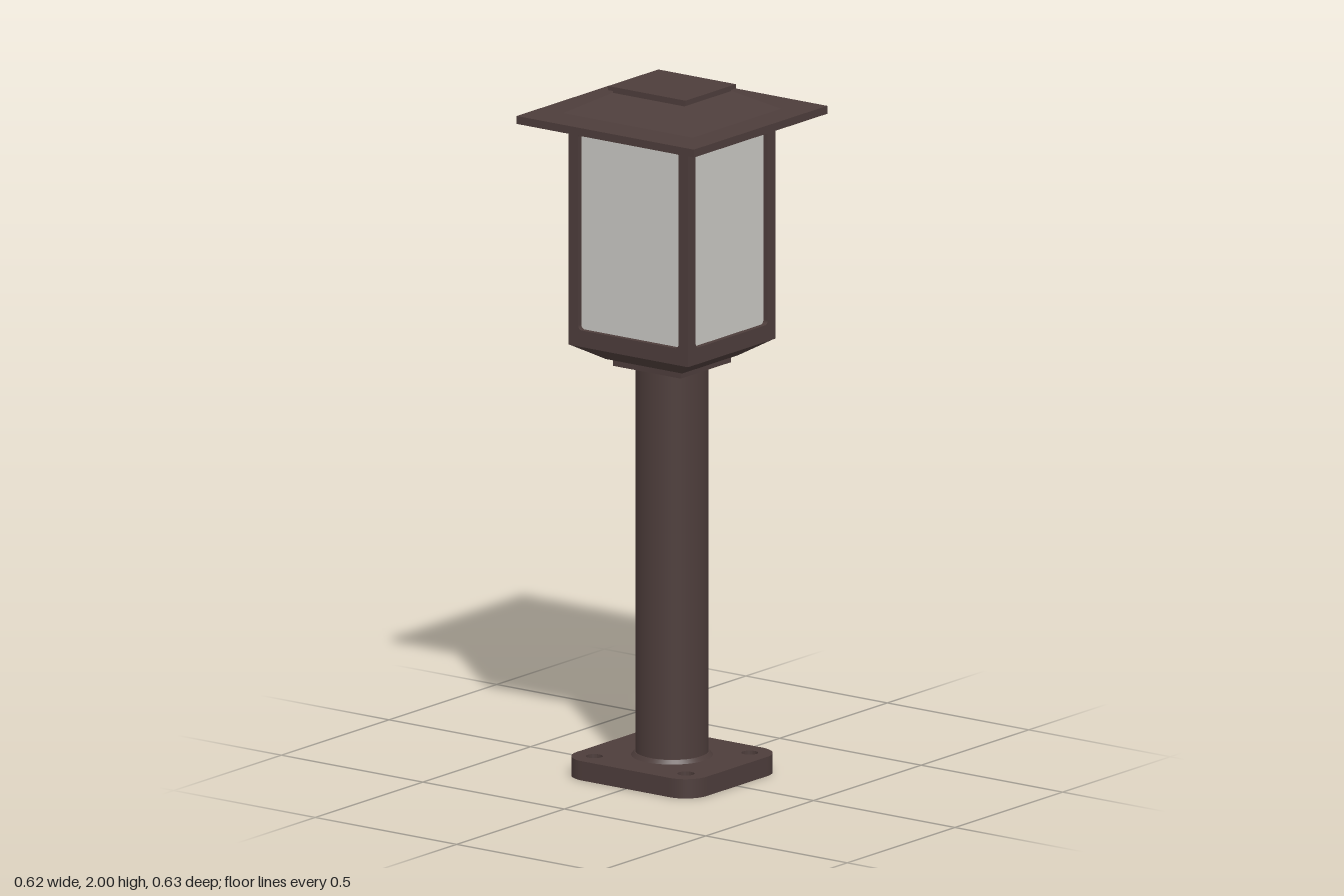
import * as THREE from 'three';

const brown = new THREE.MeshStandardMaterial({ color: 0x4d3d3b });
brown.name = 'dark bronze';
const frosted = new THREE.MeshStandardMaterial({ color: 0xc8c7c2 });
frosted.name = 'frosted glass';

function add(parent, name, geometry, material = brown, x = 0, y = 0, z = 0) {
  const mesh = new THREE.Mesh(geometry, material);
  mesh.name = name;
  mesh.position.set(x, y, z);
  parent.add(mesh);
  return mesh;
}

// Four-sided block from half sizes [x, z] at the bottom and at the top
function frustum([bx, bz], [tx, tz], y0, y1) {
  const g = new THREE.BoxGeometry(2, y1 - y0, 2);
  const p = g.attributes.position;
  for (let i = 0; i < p.count; i++) {
    const top = p.getY(i) > 0;
    p.setX(i, p.getX(i) * (top ? tx : bx));
    p.setZ(i, p.getZ(i) * (top ? tz : bz));
  }
  g.translate(0, (y0 + y1) / 2, 0);
  g.computeVertexNormals();
  return g;
}

function roundedRect(path, x0, y0, x1, y1, r) {
  path.moveTo(x0 + r, y0);
  path.lineTo(x1 - r, y0);
  path.absarc(x1 - r, y0 + r, r, -Math.PI / 2, 0);
  path.lineTo(x1, y1 - r);
  path.absarc(x1 - r, y1 - r, r, 0, Math.PI / 2);
  path.lineTo(x0 + r, y1);
  path.absarc(x0 + r, y1 - r, r, Math.PI / 2, Math.PI);
  path.lineTo(x0, y0 + r);
  path.absarc(x0 + r, y0 + r, r, Math.PI, Math.PI * 1.5);
  return path;
}

// Horizontal base plate layer, optionally drilled at the four corners
function plate(y, height, drilled) {
  const shape = roundedRect(new THREE.Shape(), -0.215, -0.23, 0.215, 0.23, 0.075);
  if (drilled) {
    for (const sx of [-1, 1]) for (const sz of [-1, 1]) {
      shape.holes.push(new THREE.Path().absarc(sx * 0.148, sz * 0.162, 0.024, 0, Math.PI * 2, true));
    }
  }
  const g = new THREE.ExtrudeGeometry(shape, { depth: height, bevelEnabled: false, curveSegments: 10 });
  return g.rotateX(-Math.PI / 2).translate(0, y, 0);
}

// One lantern side: a frame with a recessed pane
function lanternSide(width, opening, distance, angle) {
  const side = new THREE.Group();
  side.name = 'lanternSide';
  const shape = new THREE.Shape();
  shape.moveTo(-width, 1.255);
  shape.lineTo(width, 1.255);
  shape.lineTo(width, 1.905);
  shape.lineTo(-width, 1.905);
  shape.closePath();
  shape.holes.push(roundedRect(new THREE.Path(), -opening, 1.303, opening, 1.875, 0.012));
  const depth = 0.03;
  const frame = new THREE.ExtrudeGeometry(shape, { depth, bevelEnabled: false, curveSegments: 4 });
  add(side, 'windowFrame', frame, brown, 0, 0, distance - depth);
  add(side, 'windowPane', new THREE.BoxGeometry(opening * 2 + 0.01, 0.58, 0.008), frosted, 0, 1.589, distance - 0.019);
  side.rotation.y = angle;
  return side;
}

export function createModel() {
  const model = new THREE.Group();
  model.name = 'bollardLamp';

  // Base with blind bolt holes
  add(model, 'basePlateBottom', plate(0, 0.025, false));
  add(model, 'basePlateTop', plate(0.025, 0.031, true));
  add(model, 'poleFoot', new THREE.CylinderGeometry(0.106, 0.116, 0.012, 48), brown, 0, 0.061);

  // Pole
  add(model, 'pole', new THREE.CylinderGeometry(0.103, 0.103, 1.16, 48), brown, 0, 0.62);

  // Collar and flared lantern floor
  add(model, 'collar', frustum([0.117, 0.12], [0.117, 0.12], 1.19, 1.214));
  add(model, 'lanternFloor', frustum([0.13, 0.135], [0.203, 0.211], 1.21, 1.256));

  // Lantern body
  const lantern = new THREE.Group();
  lantern.name = 'lantern';
  model.add(lantern);
  for (let i = 0; i < 4; i++) {
    const frontBack = i % 2 === 0;
    lantern.add(lanternSide(frontBack ? 0.203 : 0.182, frontBack ? 0.167 : 0.177,
      frontBack ? 0.211 : 0.203, i * Math.PI / 2));
  }

  // Roof: flat brim, hipped rise, neck and cap
  add(model, 'roofBrim', frustum([0.31, 0.313], [0.31, 0.313], 1.902, 1.925));
  add(model, 'roofHip', frustum([0.207, 0.231], [0.11, 0.128], 1.924, 1.98));
  add(model, 'roofNeck', frustum([0.108, 0.126], [0.108, 0.126], 1.978, 1.99));
  add(model, 'roofCap', frustum([0.117, 0.137], [0.117, 0.137], 1.988, 2.0));
  return model;
}
